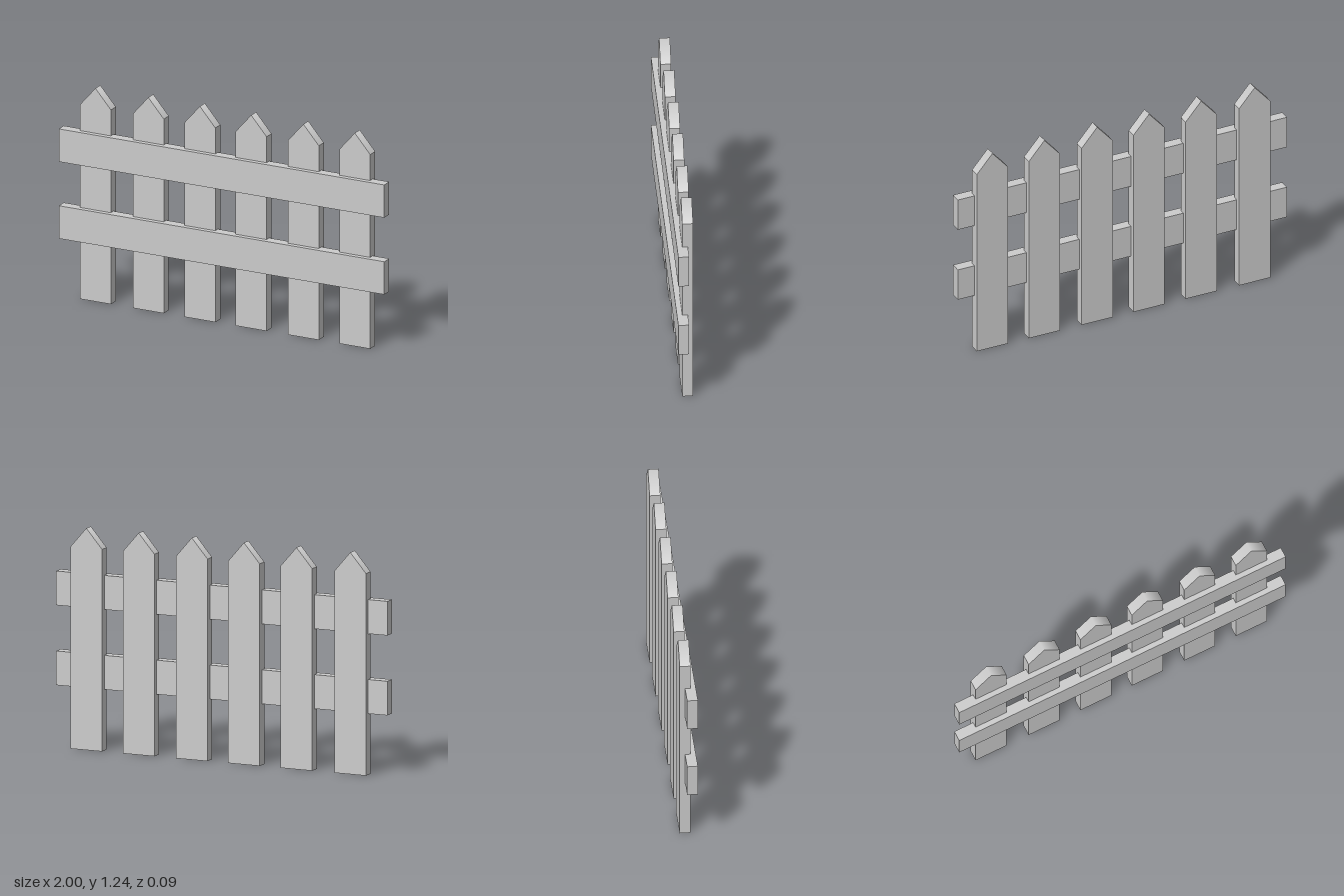
import * as THREE from 'three';

const WIDTH = 0.19, DEPTH = 0.059, SHOULDER = 1.125, PEAK = 1.235;
const PICKET_X = [-0.79, -0.465, -0.148, 0.167, 0.488, 0.804];
const RAIL_Y = [0.435, 0.88];

// Upright board with a pointed top, starting at z = 0
function picketGeometry() {
  const w = WIDTH / 2;
  const outline = new THREE.Shape([
    [-w, 0], [w, 0], [w, SHOULDER], [0, PEAK], [-w, SHOULDER],
  ].map(([x, y]) => new THREE.Vector2(x, y)));
  const geometry = new THREE.ExtrudeGeometry(outline, { depth: DEPTH, bevelEnabled: false });

  // Shade the two slopes softly into each other along the ridge
  const { position, normal } = geometry.attributes;
  for (let i = 0; i < position.count; i++) {
    if (position.getY(i) > PEAK - 1e-4 && Math.abs(normal.getZ(i)) < 0.5) normal.setXYZ(i, 0, 1, 0);
  }
  return geometry;
}

export function createModel() {
  const fence = new THREE.Group();
  fence.name = 'picketFence';
  const material = new THREE.MeshStandardMaterial({ color: 0xcccccc });

  // Pickets at the back
  const picketShape = picketGeometry();
  PICKET_X.forEach((x, i) => {
    const picket = new THREE.Mesh(picketShape, material);
    picket.name = `picket${i + 1}`;
    picket.position.set(x, 0, -0.044);
    fence.add(picket);
  });

  // Two rails across the front, sunk into the pickets
  const railShape = new THREE.BoxGeometry(2, WIDTH, DEPTH);
  RAIL_Y.forEach((y, i) => {
    const rail = new THREE.Mesh(railShape, material);
    rail.name = i === 0 ? 'lowerRail' : 'upperRail';
    rail.position.set(0, y, 0.044 - DEPTH / 2);
    fence.add(rail);
  });

  return fence;
}
